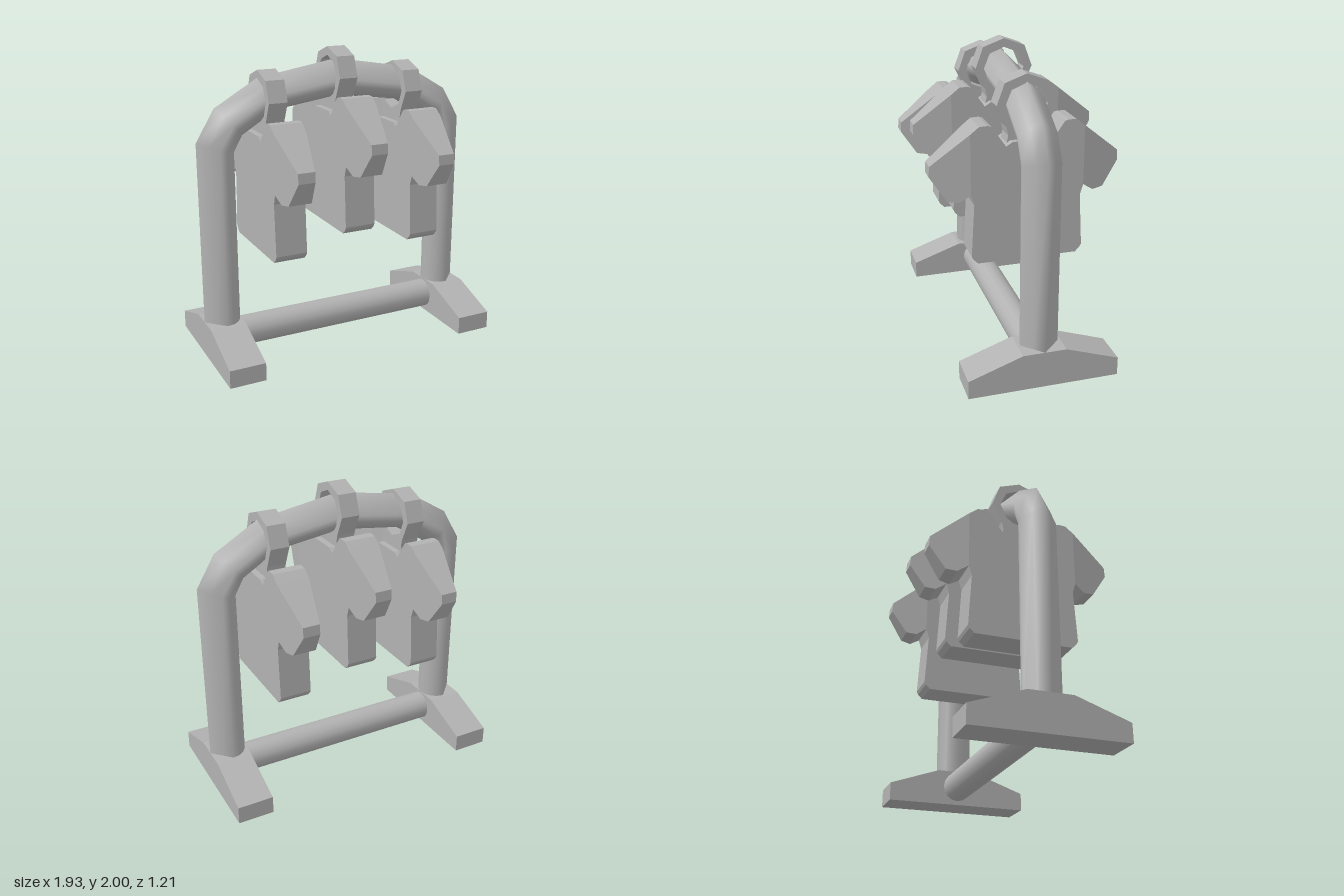
import * as THREE from 'three';

const grey = new THREE.MeshStandardMaterial({ color: 0xb2b2b2 });
grey.name = 'plain grey';

function add(parent, name, geometry, x = 0, y = 0) {
  const mesh = new THREE.Mesh(geometry, grey);
  mesh.name = name;
  mesh.position.set(x, y, 0);
  parent.add(mesh);
  return mesh;
}

// Polygon given as [z, y], extruded along x and centred on x = 0
function slab(points, width, hole) {
  const shape = new THREE.Shape(points.map(([z, y]) => new THREE.Vector2(-z, y)));
  if (hole) shape.holes.push(new THREE.Path(hole.map(([z, y]) => new THREE.Vector2(-z, y))));
  const geo = new THREE.ExtrudeGeometry(shape, { depth: width, bevelEnabled: false });
  return geo.translate(0, 0, -width / 2).rotateY(Math.PI / 2);
}

// Half outline mirrored in z into a closed outline
const mirror = (half) => half.concat(half.filter(([z]) => z > 0).reverse().map(([z, y]) => [-z, y]));

// Bent pipe: pointed on the outside, round on the inside
function archGeometry() {
  const right = [
    [[0.965, 0.1], [0.725, 0.1]],
    [[0.965, 1.45], [0.725, 1.38]],
    [[0.84, 1.66], [0.67, 1.48]],
    [[0.55, 1.83], [0.44, 1.62]],
  ];
  const left = right.map((s) => s.map(([x, y]) => [-x, y])).reverse();
  const stations = [...right, [[0, 1.92], [0, 1.68]], ...left];
  const section = [[1, 0], [0.5, 0.5]];
  for (let i = 0; i <= 8; i++) {
    const a = Math.PI / 2 + (i * Math.PI) / 8;
    section.push([Math.cos(a), Math.sin(a)]);
  }
  section.push([0.5, -0.5]);
  const n = section.length, pos = [], index = [];
  for (const [o, p] of stations) {
    for (const [u, w] of section) {
      const t = (u + 1) / 2;
      pos.push(p[0] + (o[0] - p[0]) * t, p[1] + (o[1] - p[1]) * t, w * 0.122);
    }
  }
  for (let i = 0; i < stations.length - 1; i++) {
    for (let j = 0; j < n; j++) {
      const a = i * n + j, b = i * n + ((j + 1) % n);
      index.push(a, a + n, b, b, a + n, b + n);
    }
  }
  // Make the faces point outward whichever way the loops run
  const v = (k) => new THREE.Vector3().fromArray(pos, k * 3);
  const normal = v(index[1]).sub(v(index[0])).cross(v(index[2]).sub(v(index[0])));
  if (normal.x < 0) index.reverse();
  const geo = new THREE.BufferGeometry();
  geo.setAttribute('position', new THREE.Float32BufferAttribute(pos, 3));
  geo.setIndex(index);
  geo.computeVertexNormals();
  return geo;
}

// Shirt with tapering sleeves, hanging from a ring
function shirt(name) {
  const group = new THREE.Group();
  group.name = name;
  const thick = 0.21;

  add(group, 'shirtBody', slab(mirror([
    [0, 1.6], [0.1, 1.6], [0.14, 1.575], [0.23, 1.705], [0.255, 1.712], [0.305, 1.71], [0.36, 1.667],
    [0.36, 1.285], [0.34, 1.22], [0.36, 0.88], [0.35, 0.86], [0.32, 0.83],
  ]), thick));

  // Sleeves thin toward the cuffs
  const half = [[0.36, 1.667], [0.6, 1.475], [0.605, 1.41], [0.5, 1.25], [0.43, 1.24], [0.36, 1.285]];
  for (const side of [1, -1]) {
    const geo = slab(half.map(([z, y]) => [z * side, y]), thick);
    const p = geo.attributes.position;
    for (let i = 0; i < p.count; i++) {
      const t = (Math.abs(p.getZ(i)) - 0.36) / 0.245;
      p.setX(i, p.getX(i) * (1 - 0.48 * t));
    }
    geo.computeVertexNormals();
    add(group, side > 0 ? 'frontSleeve' : 'backSleeve', geo);
  }

  // Octagonal ring with a neck that runs down into the collar
  const hole = [];
  for (let i = 0; i < 8; i++) {
    const a = (i * Math.PI) / 4;
    hole.push([0.133 * Math.cos(a), 1.812 + 0.133 * Math.sin(a)]);
  }
  add(group, 'hangerRing', slab(mirror([
    [0, 2], [0.137, 1.95], [0.187, 1.815], [0.125, 1.68], [0.115, 1.63], [0.13, 1.56], [0, 1.54],
  ]), 0.125, hole));
  return group;
}

export function createModel() {
  const model = new THREE.Group();
  model.name = 'clothesRack';

  add(model, 'archFrame', archGeometry());

  // Splayed feet
  const foot = slab(mirror([[0.14, 0.24], [0.485, 0.12], [0.485, 0]]), 0.24);
  add(model, 'leftFoot', foot, 0.845);
  add(model, 'rightFoot', foot, -0.845);

  // Bar between the feet
  add(model, 'lowerBar', new THREE.CylinderGeometry(0.1, 0.1, 1.5, 16).rotateZ(Math.PI / 2), 0, 0.128);

  // Three shirts, the middle one higher on the arch
  [[-0.485, -0.12], [0, 0], [0.485, -0.12]].forEach(([x, y], i) => {
    const item = shirt(['rightShirt', 'middleShirt', 'leftShirt'][i]);
    item.position.set(x, y, 0);
    model.add(item);
  });
  return model;
}
